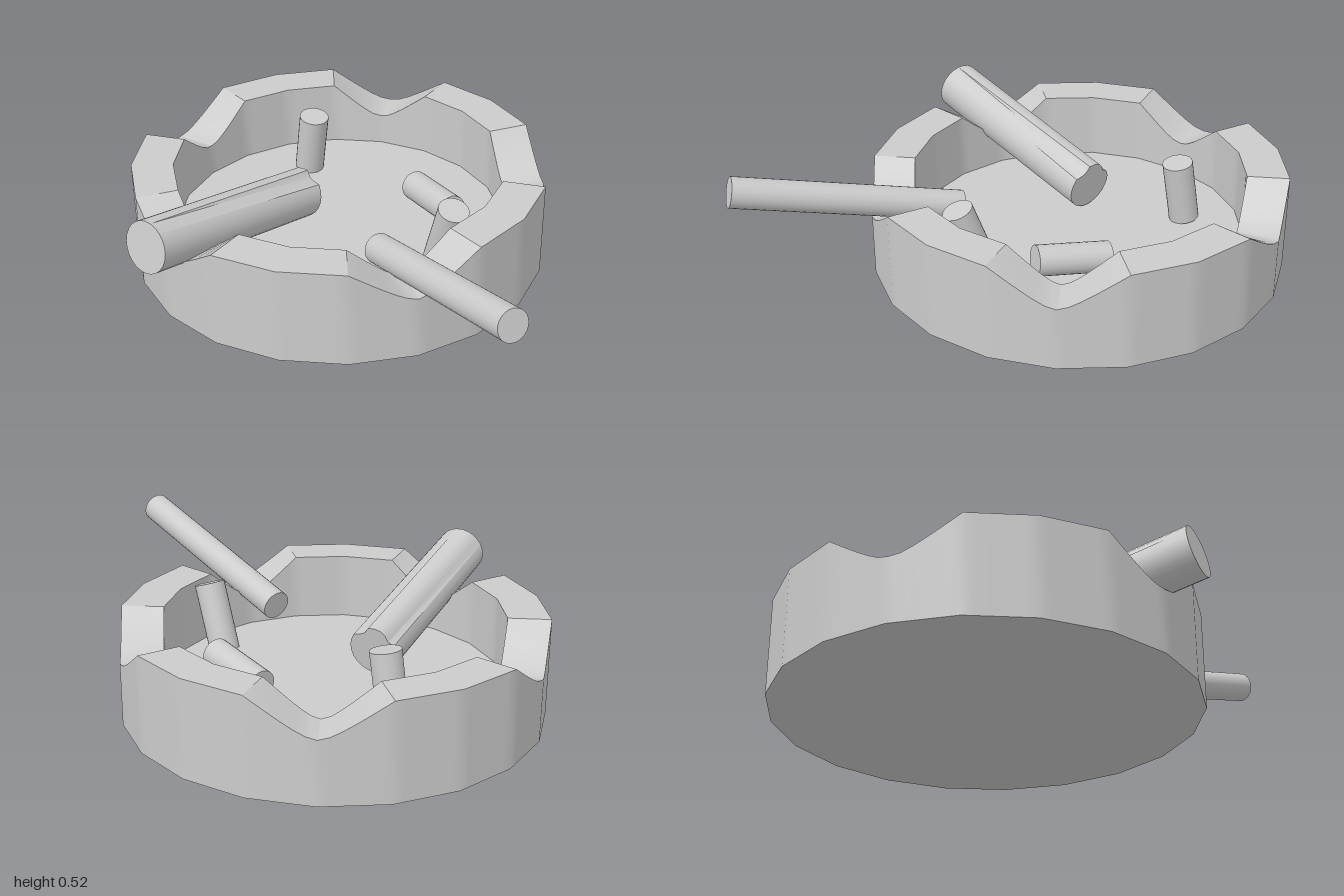
import * as THREE from 'three';
import { toCreasedNormals } from 'three/addons/utils/BufferGeometryUtils.js';

const SIDES = 20, SUB = 6, STEPS = SIDES * SUB;
const RIM = 0.385, NOTCH = 0.25, FLOOR = 0.12, OUTER = 0.82, INNER = 0.655;

// Rim height at a given side position: five rounded V notches, each two sides wide
function rimHeight(u) {
  const d = (((u - 2) % 4) + 4) % 4;
  const t = Math.min(d, 4 - d, 1);
  const k = (Math.sqrt(t * t + 0.06) - 0.245) / (Math.sqrt(1.06) - 0.245);
  return NOTCH + (RIM - NOTCH) * k;
}

// Bowl: one radial cross-section repeated around a 20-sided outline
function bowlGeometry() {
  const corner = (i) => {
    const a = (i / SIDES) * Math.PI * 2;
    return new THREE.Vector2(Math.cos(a), Math.sin(a));
  };
  const positions = [], index = [], n = 6;
  for (let i = 0; i < STEPS; i++) {
    const u = i / SUB, side = Math.floor(u);
    const dir = corner(side).lerp(corner(side + 1), u - side);
    const h = rimHeight(u);
    const profile = [[0, 0], [OUTER, 0], [OUTER, h], [INNER, h], [INNER, FLOOR], [0, FLOOR]];
    for (const [r, y] of profile) positions.push(dir.x * r, y, dir.y * r);
    const next = ((i + 1) % STEPS) * n;
    for (let j = 0; j < n - 1; j++) {
      const a = i * n + j, b = a + 1, c = next + j + 1, d = next + j;
      if (j < n - 2) index.push(a, b, c);
      if (j > 0) index.push(a, c, d);
    }
  }
  const geometry = new THREE.BufferGeometry();
  geometry.setAttribute('position', new THREE.Float32BufferAttribute(positions, 3));
  geometry.setIndex(index);
  return toCreasedNormals(geometry, 0.42);
}

export function createModel() {
  const group = new THREE.Group();
  const material = new THREE.MeshStandardMaterial({ color: 0xcccccc });

  const bowl = new THREE.Mesh(bowlGeometry(), material);
  bowl.name = 'bowl';
  bowl.position.set(-0.18, 0, -0.055);
  group.add(bowl);

  // Round stick running between two points
  const stick = (name, from, to, radius) => {
    const a = new THREE.Vector3(...from), b = new THREE.Vector3(...to);
    const dir = b.clone().sub(a);
    const geometry = new THREE.CylinderGeometry(radius, radius, dir.length(), 24);
    const mesh = new THREE.Mesh(geometry, material);
    mesh.name = name;
    mesh.position.copy(a).add(b).multiplyScalar(0.5);
    mesh.quaternion.setFromUnitVectors(new THREE.Vector3(0, 1, 0), dir.normalize());
    group.add(mesh);
    return mesh;
  };

  // Thick cigar with a dented inner end
  const cigar = stick('cigar', [-0.32, 0.225, 0.01], [-0.405, 0.385, 0.85], 0.1);
  const pos = cigar.geometry.attributes.position;
  const p = new THREE.Vector3();
  for (let i = 0; i < pos.count; i++) {
    p.fromBufferAttribute(pos, i);
    if (p.y > 0 || Math.hypot(p.x, p.z) < 0.05) continue;
    const world = p.clone().setY(0).applyQuaternion(cigar.quaternion).normalize();
    for (const [x, y] of [[-0.75, 0.66], [0.5, 0.86]]) {
      const near = Math.max(0, (world.x * x + world.y * y - 0.93) / 0.07);
      const pinch = 1 - 0.25 * near;
      p.x *= pinch;
      p.z *= pinch;
    }
    pos.setXYZ(i, p.x, p.y, p.z);
  }
  cigar.geometry = toCreasedNormals(cigar.geometry, 0.6);

  // Long cigarette resting in a notch, and three stubs inside the bowl
  stick('cigarette', [0.19, 0.255, 0.235], [0.965, 0.465, 0.655], 0.06);
  stick('uprightStub', [-0.52, 0.13, -0.325], [-0.48, 0.38, -0.31], 0.06);
  stick('leaningStub', [0.31, 0.13, -0.005], [0.395, 0.39, 0.04], 0.06);
  stick('lyingStub', [-0.01, 0.175, -0.355], [0.245, 0.21, -0.215], 0.06);

  return group;
}
